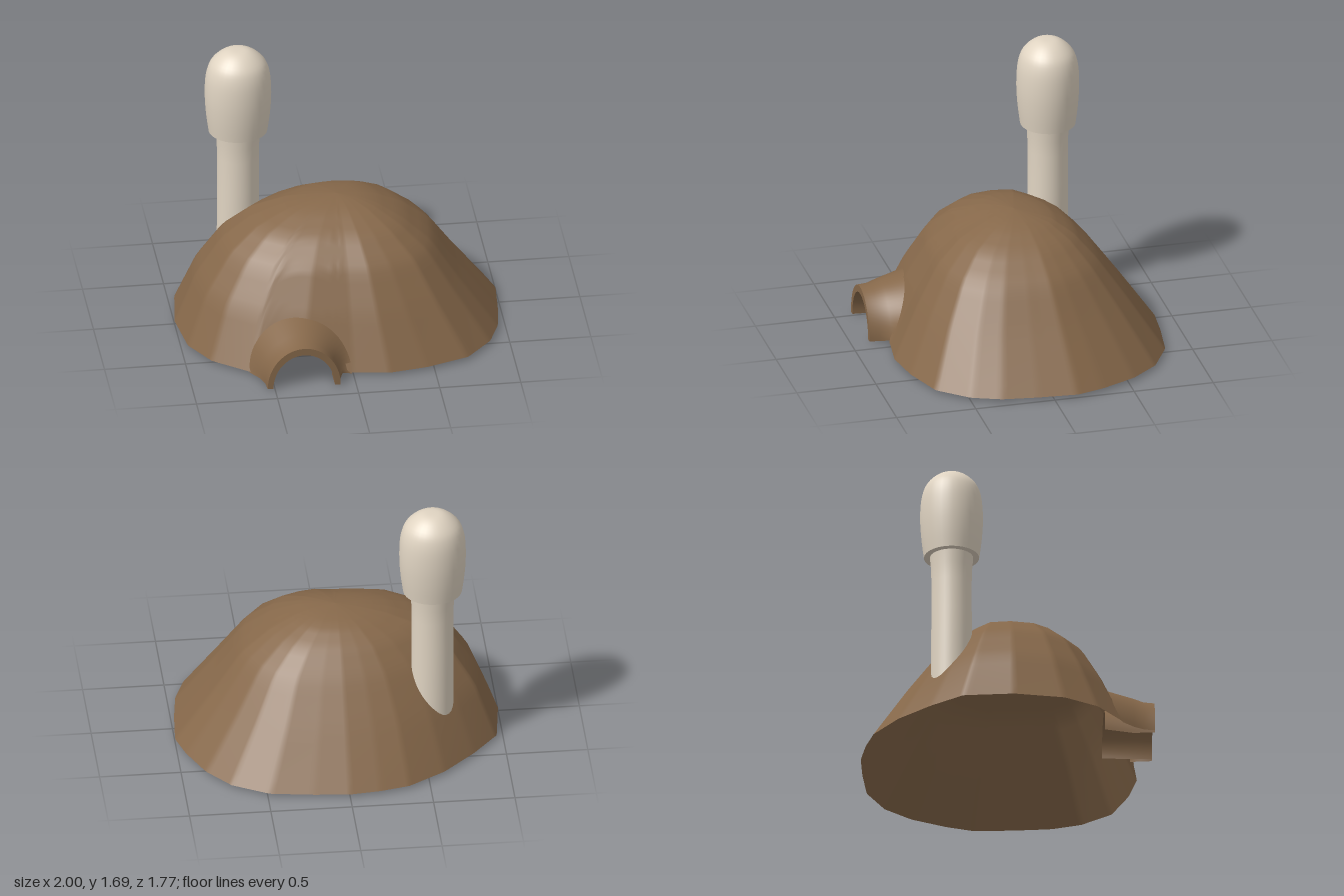
import * as THREE from 'three';

const earth = new THREE.MeshStandardMaterial({ color: 0x86684a, side: THREE.DoubleSide });
earth.name = 'earth brown';
const clay = new THREE.MeshStandardMaterial({ color: 0xe0d4c2, side: THREE.DoubleSide });
clay.name = 'pale clay';

// Ground outline of the mound as x, z corners
const outline = [
  [1, -0.15], [0.98, 0.1], [0.95, 0.32], [0.88, 0.5], [0.72, 0.68], [0.46, 0.77], [0.22, 0.81],
  [0, 0.78], [-0.3, 0.77], [-0.62, 0.69], [-0.84, 0.52], [-0.96, 0.31], [-1, 0], [-0.96, -0.31],
  [-0.8, -0.5], [-0.6, -0.69], [-0.37, -0.83], [-0.19, -0.87], [0, -0.89], [0.22, -0.87],
  [0.49, -0.83], [0.71, -0.71], [0.85, -0.54], [0.95, -0.32],
];
// Height, then how far the outline shrinks on the left, right, back and front of the drawing
const levels = [
  [0.02, 1, 1, 1, 1], [0.35, 0.87, 0.75, 0.74, 0.8], [0.59, 0.71, 0.58, 0.54, 0.63],
  [0.73, 0.53, 0.4, 0.39, 0.44], [0.81, 0.3, 0.23, 0.24, 0.22], [0.835, 0.13, 0.12, 0.1, 0.1],
  [0.845, 0, 0, 0, 0],
];
const APEX = 0.845;

// Distance from the centre to the outline in one direction
function radius(theta) {
  const dx = Math.cos(theta), dz = Math.sin(theta);
  for (let i = 0; i < outline.length; i++) {
    const [ax, az] = outline[i], [bx, bz] = outline[(i + 1) % outline.length];
    const ca = dx * az - dz * ax, cb = dx * bz - dz * bx;
    if (ca <= 0 && cb > 0 && dx * (ax + bx) + dz * (az + bz) > 0) {
      const t = ca / (ca - cb);
      return Math.hypot(ax + (bx - ax) * t, az + (bz - az) * t);
    }
  }
  return 1;
}

function shrink(y, x, z) {
  let i = 0;
  while (i < levels.length - 2 && y > levels[i + 1][0]) i++;
  const a = levels[i], b = levels[i + 1], t = (y - a[0]) / (b[0] - a[0]);
  const at = (k) => a[k] + (b[k] - a[k]) * t;
  return [at(x < 0 ? 1 : 2), at(z < 0 ? 3 : 4)];
}

function moundPoint(theta, y) {
  const r = radius(theta), x = r * Math.cos(theta), z = r * Math.sin(theta);
  const [sx, sz] = shrink(y, x, z);
  return [x * sx, y, z * sz];
}

function insideMound(x, y, z) {
  const [sx, sz] = shrink(y, x, z);
  const X = x / Math.max(sx, 1e-5), Z = z / Math.max(sz, 1e-5);
  return Math.hypot(X, Z) <= radius(Math.atan2(Z, X));
}

// Last value between lo and hi for which the test holds
function bisect(lo, hi, test) {
  for (let i = 0; i < 24; i++) {
    const mid = (lo + hi) / 2;
    if (test(mid)) lo = mid; else hi = mid;
  }
  return lo;
}

// Smooth surface through rows of points
function loft(rows, closed) {
  const n = rows[0].length, index = [];
  for (let r = 0; r < rows.length - 1; r++) {
    for (let c = 0; c < (closed ? n : n - 1); c++) {
      const a = r * n + c, b = r * n + (c + 1) % n;
      index.push(a, a + n, b, b, a + n, b + n);
    }
  }
  const g = new THREE.BufferGeometry();
  g.setAttribute('position', new THREE.Float32BufferAttribute(rows.flat(2), 3));
  g.setIndex(index);
  g.computeVertexNormals();
  return g;
}

function part(parent, name, geometry, material) {
  const m = new THREE.Mesh(geometry, material);
  m.name = name;
  parent.add(m);
  return m;
}

const range = (n, f) => Array.from({ length: n }, (_, i) => f(i));

export function createModel() {
  const model = new THREE.Group();
  model.name = 'burrowMound';

  // Mound shell, with an arch left open where the tunnel enters
  const TX = -0.32, COLS = 240, ROWS = 20;
  const inArch = ([x, y, z]) => z > 0 && ((x - TX) / 0.28) ** 2 + ((y - 0.02) / 0.29) ** 2 < 1;
  const columns = range(COLS, (c) => {
    const theta = (c / COLS) * Math.PI * 2;
    const open = inArch(moundPoint(theta, 0.02));
    const y0 = open ? bisect(0.02, 0.6, (y) => inArch(moundPoint(theta, y))) : 0.02;
    return range(ROWS + 1, (r) =>
      moundPoint(theta, y0 + (APEX - y0) * Math.sin((r / ROWS) * Math.PI / 2)));
  });
  part(model, 'mound', loft(range(ROWS + 1, (r) => columns.map((c) => c[r])), true), earth);

  // Tunnel entrance: flared outside, flat rim and inner wall
  const tunnel = new THREE.Group();
  tunnel.name = 'tunnelEntrance';
  model.add(tunnel);
  const arch = (rx, ry, base, depth) => range(33, (i) => {
    const a = Math.PI * (1 - i / 32);
    const x = TX + rx * Math.cos(a), y = base + ry * Math.sin(a);
    return [x, y, depth ?? bisect(0, 1, (z) => insideMound(x, Math.max(y, 0.02), z))];
  });
  const outer = arch(0.225, 0.265, 0.005, 0.885);
  const inner = arch(0.19, 0.22, 0.005, 0.885);
  part(tunnel, 'tunnelFlare', loft([
    arch(0.31, 0.32, 0.015), arch(0.255, 0.285, 0.01, 0.755), arch(0.23, 0.27, 0.005, 0.82), outer,
  ]), earth);
  part(tunnel, 'tunnelRim', loft([outer, inner]), earth);
  part(tunnel, 'tunnelWall', loft([
    inner, arch(0.19, 0.215, 0, 0.75), arch(0.21, 0.2, 0.01, 0.58),
  ]), earth);

  // Chimney pipe, its foot following the slope of the mound
  const chimney = new THREE.Group();
  chimney.name = 'chimney';
  model.add(chimney);
  const CX = -0.56, CZ = -0.362;
  const ring = (r, y) => range(32, (i) => {
    const a = (i / 32) * Math.PI * 2;
    const x = CX + r * Math.cos(a), z = CZ + r * 0.96 * Math.sin(a);
    return [x, y ?? bisect(0.02, APEX, (h) => insideMound(x, h, z)) - 0.02, z];
  });
  part(chimney, 'pipe', loft([
    ring(0.13), ring(0.129, 0.75), ring(0.128, 0.95), ring(0.131, 1.05), ring(0.139, 1.14),
  ], true), clay);

  // Rounded cap and its underside
  const profile = new THREE.SplineCurve([
    [0.18, 1.13], [0.195, 1.24], [0.204, 1.36], [0.202, 1.47], [0.19, 1.55], [0.165, 1.61],
    [0.115, 1.66], [0.06, 1.688], [0, 1.692],
  ].map(([x, y]) => new THREE.Vector2(x, y)));
  const points = profile.getPoints(24);
  points[24].x = 0;
  const cap = part(chimney, 'cap', new THREE.LatheGeometry(points, 32), clay);
  const under = part(chimney, 'capUnderside',
    new THREE.RingGeometry(0.125, 0.18, 32).rotateX(Math.PI / 2).translate(0, 1.13, 0), clay);
  for (const m of [cap, under]) {
    m.position.set(CX, 0, CZ);
    m.scale.z = 0.94;
  }
  return model;
}
